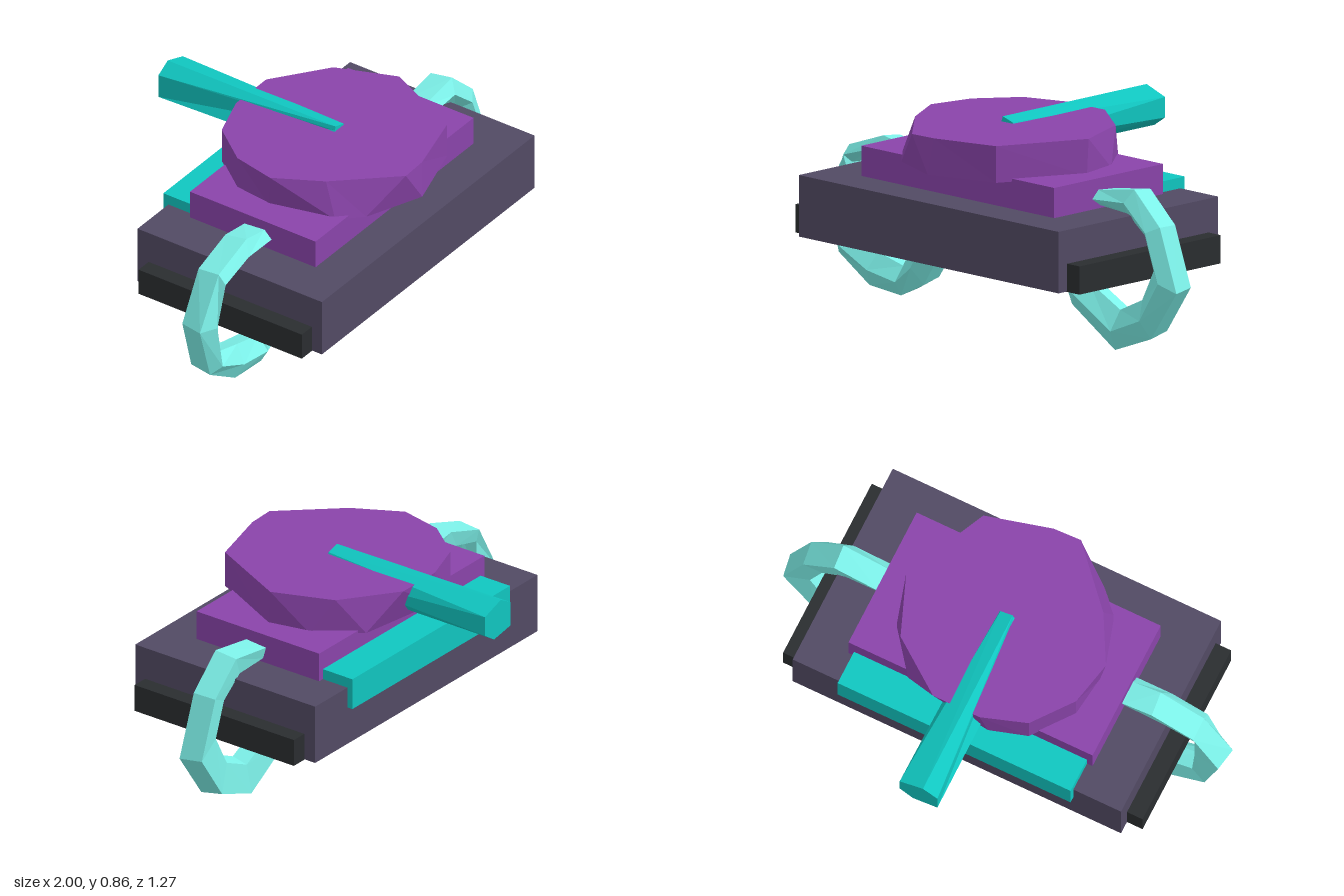
import * as THREE from 'three';

const material = (color) => new THREE.MeshStandardMaterial({ color, flatShading: true });
const slate = material(0x524a64);
const black = material(0x2a2d30);
const purple = material(0x8a44aa);
const cyan = material(0x10c6c0);
const aqua = material(0x7cf0e8);

// Box given by its limits on each axis
function box(name, mat, [x0, x1], [y0, y1], [z0, z1]) {
  const mesh = new THREE.Mesh(new THREE.BoxGeometry(x1 - x0, y1 - y0, z1 - z0), mat);
  mesh.position.set((x0 + x1) / 2, (y0 + y1) / 2, (z0 + z1) / 2);
  mesh.name = name;
  return mesh;
}

// Closed faceted skin through rings of equal point count, capped at both ends
function loft(name, mat, rings) {
  const tris = [];
  const n = rings[0].length;
  for (let i = 0; i + 1 < rings.length; i++) {
    for (let j = 0; j < n; j++) {
      const k = (j + 1) % n;
      const [a, b, c, d] = [rings[i][j], rings[i][k], rings[i + 1][k], rings[i + 1][j]];
      tris.push([a, b, c], [a, c, d]);
    }
  }
  const first = rings[0], last = rings[rings.length - 1];
  const middle = (r) => r.reduce((s, p) => s.add(p), new THREE.Vector3()).divideScalar(n);
  const m0 = middle(first), m1 = middle(last);
  for (let j = 0; j < n; j++) {
    const k = (j + 1) % n;
    tris.push([m0, first[k], first[j]], [m1, last[j], last[k]]);
  }
  // Turn every face outward using the sign of the enclosed volume
  const volume = tris.reduce((s, [a, b, c]) => s + a.dot(b.clone().cross(c)), 0);
  if (volume < 0) tris.forEach((t) => t.reverse());
  const geometry = new THREE.BufferGeometry().setFromPoints(tris.flat());
  geometry.computeVertexNormals();
  const mesh = new THREE.Mesh(geometry, mat);
  mesh.name = name;
  return mesh;
}

// Curved arm from [outerX, outerY, innerX, innerY] stations with a five-sided section
function arm(name, stations) {
  const section = [[0, 0.215], [0.5, 0.25], [1, 0.2], [0.9, 0.13], [0.12, 0.115]];
  return loft(name, aqua, stations.map(([ox, oy, ix, iy]) => section.map(([t, z]) =>
    new THREE.Vector3(ox + (ix - ox) * t, oy + (iy - oy) * t, z))));
}

export function createModel() {
  const model = new THREE.Group();
  model.name = 'vehicle';

  // Hull, side skirts, deck and rear bar
  model.add(box('hull', slate, [-0.74, 0.74], [0.32, 0.575], [-0.28, 0.635]));
  for (const side of [-1, 1]) {
    const x = [0.7 * side, 0.81 * side].sort((a, b) => a - b);
    model.add(box(side > 0 ? 'leftSkirt' : 'rightSkirt', black, x, [0.318, 0.435], [-0.225, 0.585]));
  }
  model.add(box('deck', purple, [-0.55, 0.55], [0.56, 0.7], [-0.155, 0.468]));
  model.add(box('rearBar', cyan, [-0.525, 0.525], [0.485, 0.62], [-0.305, -0.14]));

  // Faceted turret: slightly twisted upper and lower outlines (x, z)
  const upper = [[0.45, 0.17], [0.28, 0.53], [0, 0.605], [-0.12, 0.61], [-0.34, 0.37], [-0.45, 0.17],
    [-0.41, -0.02], [-0.28, -0.19], [-0.09, -0.255], [0.12, -0.255], [0.35, -0.085]];
  const lower = [[0.45, 0.18], [0.28, 0.53], [-0.02, 0.62], [-0.27, 0.52], [-0.36, 0.43], [-0.43, 0.15],
    [-0.41, -0.02], [-0.28, -0.19], [-0.12, -0.24], [0.27, -0.18], [0.41, 0]];
  const flat = (pts, y) => pts.map(([x, z]) => new THREE.Vector3(x, y, z));
  model.add(loft('turret', purple, [flat(lower, 0.688), flat(upper, 0.84)]));

  // Barrel pointing backwards, sunk into the turret top
  const muzzle = [[-0.025, 0.862], [0.08, 0.825], [0.08, 0.74], [0.02, 0.7], [-0.09, 0.72], [-0.09, 0.825]];
  const breech = [[-0.02, 0.862], [0.035, 0.846], [0.08, 0.77], [0.02, 0.7], [-0.09, 0.75], [-0.025, 0.846]];
  const upright = (pts, z) => pts.map(([x, y]) => new THREE.Vector3(x, y, z));
  model.add(loft('barrel', cyan, [upright(muzzle, -0.64), upright(breech, 0.19)]));

  // Hooked arms, each running from the deck round and under the hull
  model.add(arm('leftArm', [
    [0.48, 0.64, 0.48, 0.58], [0.55, 0.652, 0.555, 0.585], [0.755, 0.685, 0.7, 0.575],
    [0.9, 0.55, 0.8, 0.5], [0.995, 0.29, 0.85, 0.36], [0.85, 0.08, 0.785, 0.23],
    [0.645, 0.003, 0.66, 0.17], [0.4, 0.155, 0.48, 0.26], [0.3, 0.37, 0.44, 0.38],
  ]));
  model.add(arm('rightArm', [
    [-0.48, 0.65, -0.48, 0.58], [-0.555, 0.66, -0.555, 0.59], [-0.675, 0.683, -0.745, 0.57],
    [-0.87, 0.615, -0.87, 0.54], [-1, 0.4, -0.855, 0.4], [-0.93, 0.16, -0.85, 0.225],
    [-0.755, 0.05, -0.72, 0.19], [-0.575, 0.035, -0.575, 0.155], [-0.445, 0.1, -0.53, 0.235],
    [-0.35, 0.245, -0.49, 0.32], [-0.35, 0.37, -0.48, 0.38],
  ]));

  return model;
}
